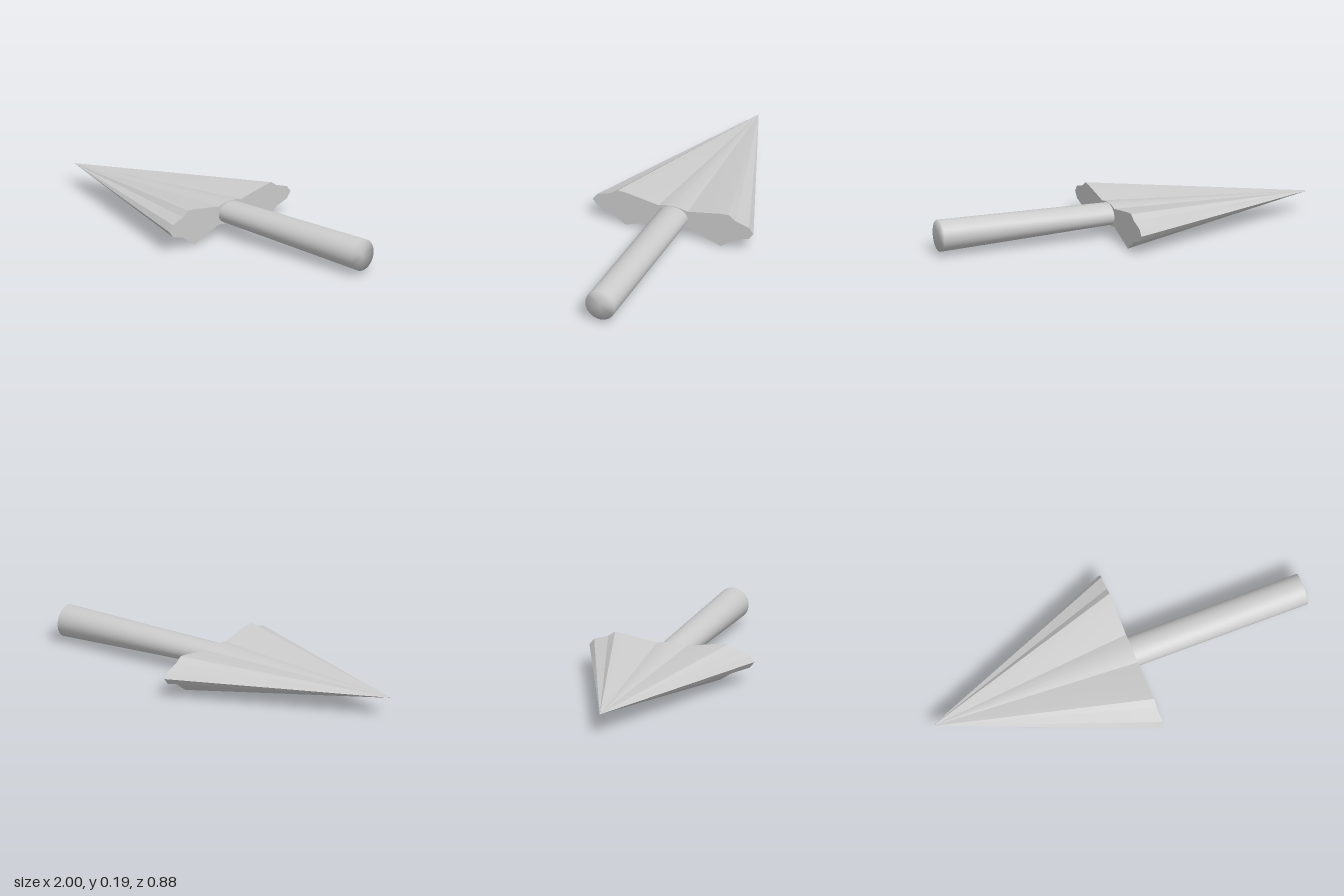
import * as THREE from 'three';
import { mergeVertices, toCreasedNormals } from 'three/addons/utils/BufferGeometryUtils.js';

const BASE_X = 0.08;
const MID_Y = 0.113;

// Half of the head's rear outline as [z, y], from top centre round to bottom centre
const HALF = [
  [0, 0.172], [0.045, 0.168], [0.08, 0.16], [0.255, 0.19], [0.303, 0.194], [0.34, 0.168],
  [0.415, 0.145], [0.44, 0.113], [0.415, 0.081], [0.34, 0.059], [0.3, 0.029],
  [0.26, 0.002], [0.08, 0.065], [0.045, 0.06], [0, 0.056],
];

// Winged head: every outline edge runs to the tip, and a flat face closes the rear
function headGeometry() {
  const mirrored = HALF.slice(1, -1).reverse().map(([z, y]) => [-z, y]);
  const ring = [...HALF, ...mirrored].map(([z, y]) => new THREE.Vector3(BASE_X, y, z));
  const tip = new THREE.Vector3(-1, MID_Y, 0);
  const centre = new THREE.Vector3(BASE_X, MID_Y, 0);
  const points = [];
  ring.forEach((p, i) => {
    const q = ring[(i + 1) % ring.length];
    points.push(tip, q, p, centre, p, q);
  });
  return toCreasedNormals(new THREE.BufferGeometry().setFromPoints(points), 0.3);
}

// Shaft: constant width, its height growing from the head to the butt
function shaftGeometry() {
  const start = 0.06, length = 1 - start;
  let geo = new THREE.CylinderGeometry(1, 1, length, 32, 1);
  geo.rotateZ(-Math.PI / 2);
  const pos = geo.attributes.position;
  for (let i = 0; i < pos.count; i++) {
    const t = pos.getX(i) / length + 0.5;
    const bottom = THREE.MathUtils.lerp(0.06, 0.02, t);
    const top = THREE.MathUtils.lerp(0.169, 0.183, t);
    pos.setXYZ(
      i,
      start + t * length,
      (top + bottom) / 2 + pos.getY(i) * (top - bottom) / 2,
      pos.getZ(i) * 0.081,
    );
  }
  // Weld the rims so the shading rolls softly over the butt
  geo.deleteAttribute('normal');
  geo.deleteAttribute('uv');
  geo = mergeVertices(geo, 1e-4);
  geo.computeVertexNormals();
  return geo;
}

export function createModel() {
  const group = new THREE.Group();
  group.name = 'arrow';
  const material = new THREE.MeshStandardMaterial({ color: 0xcccccc });
  const parts = { head: headGeometry(), shaft: shaftGeometry() };
  for (const [name, geometry] of Object.entries(parts)) {
    const mesh = new THREE.Mesh(geometry, material);
    mesh.name = name;
    group.add(mesh);
  }
  return group;
}
